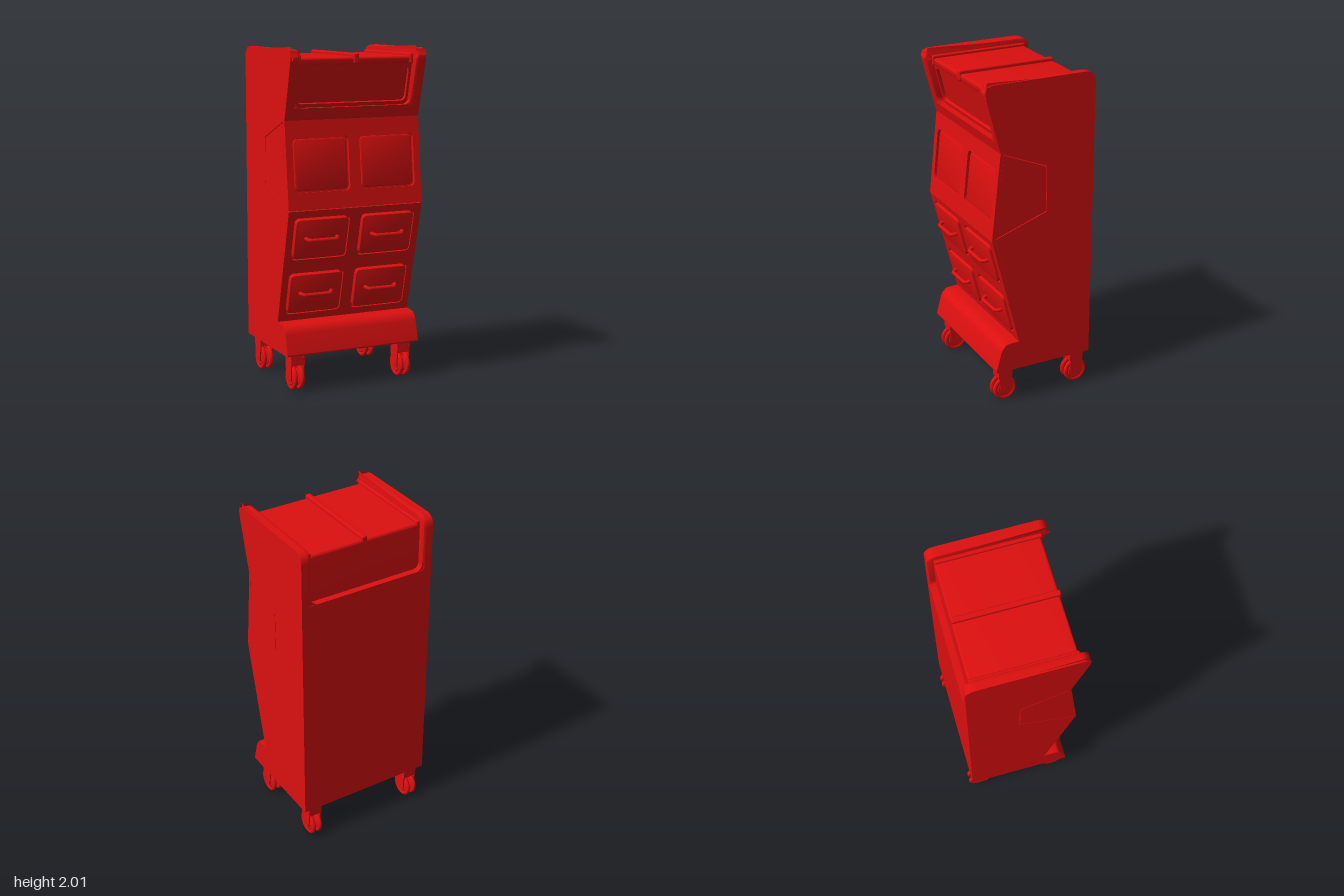
import * as THREE from 'three';
import { toCreasedNormals } from 'three/addons/utils/BufferGeometryUtils.js';
import { RoundedBoxGeometry } from 'three/addons/geometries/RoundedBoxGeometry.js';

const red = new THREE.MeshStandardMaterial({ color: 0xdd0f0f });
const T = 0.02; // thickness of the front face plates

function add(parent, name, geo, x = 0, y = 0, z = 0) {
  const mesh = new THREE.Mesh(geo, red);
  mesh.name = name;
  mesh.position.set(x, y, z);
  parent.add(mesh);
  return mesh;
}

// Closed outline from [a, b, cornerRadius] points
function outline(points, Type = THREE.Shape) {
  const s = new Type();
  const n = points.length;
  points.forEach(([a, b, r = 0], i) => {
    const p = new THREE.Vector2(a, b);
    const toward = (q) => new THREE.Vector2(q[0], q[1]).sub(p).setLength(r).add(p);
    const from = toward(points[(i + n - 1) % n]), to = toward(points[(i + 1) % n]);
    if (i === 0) s.moveTo(from.x, from.y); else s.lineTo(from.x, from.y);
    if (r) s.quadraticCurveTo(a, b, to.x, to.y);
  });
  s.closePath();
  return s;
}

const rect = (cx, cy, w, h, r, Type) => outline([
  [cx - w / 2, cy - h / 2, r], [cx + w / 2, cy - h / 2, r],
  [cx + w / 2, cy + h / 2, r], [cx - w / 2, cy + h / 2, r]], Type);

function extrude(shape, depth, bevel = 0) {
  return toCreasedNormals(new THREE.ExtrudeGeometry(shape, {
    depth: depth - 2 * bevel, curveSegments: 8, bevelEnabled: bevel > 0,
    bevelSize: bevel, bevelThickness: bevel, bevelOffset: -bevel, bevelSegments: 2,
  }).translate(0, 0, bevel), 0.6);
}

// Extrude a (z, y) side profile across the width from x0 to x1
const across = (points, x0, x1, bevel = 0) =>
  extrude(outline(points), x1 - x0, bevel).rotateY(-Math.PI / 2).translate(x1, 0, 0);

// Sloped face plate with rounded openings; local +z points outward
function slopedFace(parent, name, [z0, y0], [z1, y1], width, openings, below = 0) {
  const g = new THREE.Group();
  g.name = name;
  g.position.set(0, y0, z0);
  g.rotation.x = Math.atan2(z1 - z0, y1 - y0);
  parent.add(g);
  const len = Math.hypot(z1 - z0, y1 - y0), k = len / (y1 - y0);
  const shape = rect(0, (len - below) / 2, width, len + below, 0);
  const slots = openings.map(([cx, cy, w, h]) => ({ x: cx, y: (cy - y0) * k, w, h: h * k }));
  slots.forEach((s) => shape.holes.push(rect(s.x, s.y, s.w, s.h, 0.035, THREE.Path)));
  add(g, name + 'Plate', extrude(shape, T), 0, 0, -T);
  return { g, slots };
}

// Raised, bevelled panel sitting in an opening
const panel = (g, name, s, gap, top) => add(g, name,
  extrude(rect(0, 0, s.w - gap * 2, s.h - gap * 2, 0.028), top + T + 0.005, 0.006), s.x, s.y, -T - 0.005);

function caster(parent, x, z) {
  const g = new THREE.Group();
  g.name = 'caster';
  g.position.set(x, 0, z);
  parent.add(g);
  add(g, 'casterMount', new THREE.BoxGeometry(0.086, 0.07, 0.09), 0, 0.188, 0);
  const wheel = [[0.012, -0.013], [0.045, -0.013], [0.05, -0.009], [0.062, -0.013], [0.071, -0.01],
    [0.075, -0.004], [0.075, 0.004], [0.071, 0.01], [0.062, 0.013], [0.05, 0.009], [0.045, 0.013],
    [0.012, 0.013]].map((p) => new THREE.Vector2(...p));
  for (const s of [-1, 1]) {
    add(g, 'casterWheel', toCreasedNormals(new THREE.LatheGeometry(wheel, 32).rotateZ(Math.PI / 2), 0.5), s * 0.022, 0.075, 0);
    add(g, 'casterFork', across([[-0.034, 0.055, 0.015], [0.034, 0.055, 0.015], [0.048, 0.22], [-0.048, 0.22]],
      s * 0.0395 - 0.0035, s * 0.0395 + 0.0035));
  }
  add(g, 'casterAxle', new THREE.CylinderGeometry(0.016, 0.016, 0.088, 16).rotateZ(Math.PI / 2), 0, 0.075, 0);
}

export function createModel() {
  const root = new THREE.Group();
  root.name = 'rollingCabinet';

  // Main body with kick base and a side notch for the middle section
  add(root, 'body', across([
    [-0.34, 0.22], [0.29, 0.22, 0.012], [0.245, 0.39, 0.05], [0.19, 0.4, 0.04], [0.12, 0.4],
    [0.295, 1.087], [-0.035, 1.2], [-0.035, 1.48], [0.26, 1.6], [0.278, 1.665], [-0.34, 1.665]], -0.43, 0.43));

  // Middle section, parted from the body by a fine seam
  add(root, 'middleSection', across([
    [0.295, 1.091], [0.24, 1.588], [-0.031, 1.476], [-0.031, 1.204]].reverse(), -0.43, 0.43));
  const windows = slopedFace(root, 'windowFace', [0.315, 1.084], [0.26, 1.597], 0.86,
    [-0.212, 0.212].map((x) => [x, 1.342, 0.354, 0.316]));
  windows.slots.forEach((s) => panel(windows.g, 'windowPane', s, 0.01, -0.009));

  // Drawer front with four handled drawers
  const openings = [];
  for (const y of [0.91, 0.57]) for (const x of [-0.212, 0.212]) openings.push([x, y, 0.354, 0.258]);
  const drawers = slopedFace(root, 'drawerFace', [0.14, 0.4], [0.315, 1.08], 0.86, openings, 0.01);
  const grip = new THREE.CurvePath();
  const pts = [[-0.098, 0], [-0.098, 0.016], [-0.08, 0.036], [0.08, 0.036], [0.098, 0.016], [0.098, 0]]
    .map(([x, z]) => new THREE.Vector3(x, 0, z));
  for (let i = 1; i < pts.length; i++) grip.add(new THREE.LineCurve3(pts[i - 1], pts[i]));
  drawers.slots.forEach((s) => {
    panel(drawers.g, 'drawer', s, 0.01, 0.012);
    add(drawers.g, 'drawerHandle', new THREE.TubeGeometry(grip, 40, 0.012, 10), s.x, s.y + 0.006, 0.01);
  });

  // Tall side cheeks, chamfered on the inside, with a fillet at their foot
  const cheek = (low, zLow) => [[-0.34, low], [zLow, low], [0.355, 1.955, 0.04], [0.34, 2, 0.045], [-0.34, 2, 0.07]];
  for (const s of [-1, 1]) {
    const span = (a, b) => (s > 0 ? [a, b] : [-b, -a]);
    add(root, 'sideCheek', across(cheek(1.665, 0.278), ...span(0.385, 0.43)));
    add(root, 'cheekInnerEdge', across(cheek(1.61, 0.262), ...span(0.367, 0.42), 0.016));
    const corner = new THREE.Shape();
    corner.moveTo(s * 0.375, 1.66);
    corner.lineTo(s * 0.375, 1.71);
    corner.lineTo(s * 0.368, 1.71);
    corner.quadraticCurveTo(s * 0.368, 1.665, s * 0.325, 1.665);
    corner.lineTo(s * 0.325, 1.66);
    add(root, 'cheekFillet', extrude(corner, 0.612), 0, 0, -0.336);
  }

  // Top bin between the cheeks, with a recessed front and lid ribs
  add(root, 'topBin', across([
    [-0.3, 1.66], [0.215, 1.66], [0.277, 1.905], [0.3, 1.91, 0.006], [0.307, 1.952, 0.018], [-0.3, 1.952, 0.015]], -0.37, 0.37));
  slopedFace(root, 'binFront', [0.238, 1.665], [0.298, 1.912], 0.73, [[0, 1.79, 0.7, 0.208]]);
  for (const x of [-0.357, 0, 0.357])
    add(root, 'lidRib', new RoundedBoxGeometry(x ? 0.024 : 0.034, 0.062, 0.612, 3, 0.009), x, x ? 1.938 : 1.942, 0.006);

  // Four twin-wheel casters
  for (const x of [-0.35, 0.35]) for (const z of [0.208, -0.278]) caster(root, x, z);
  return root;
}
